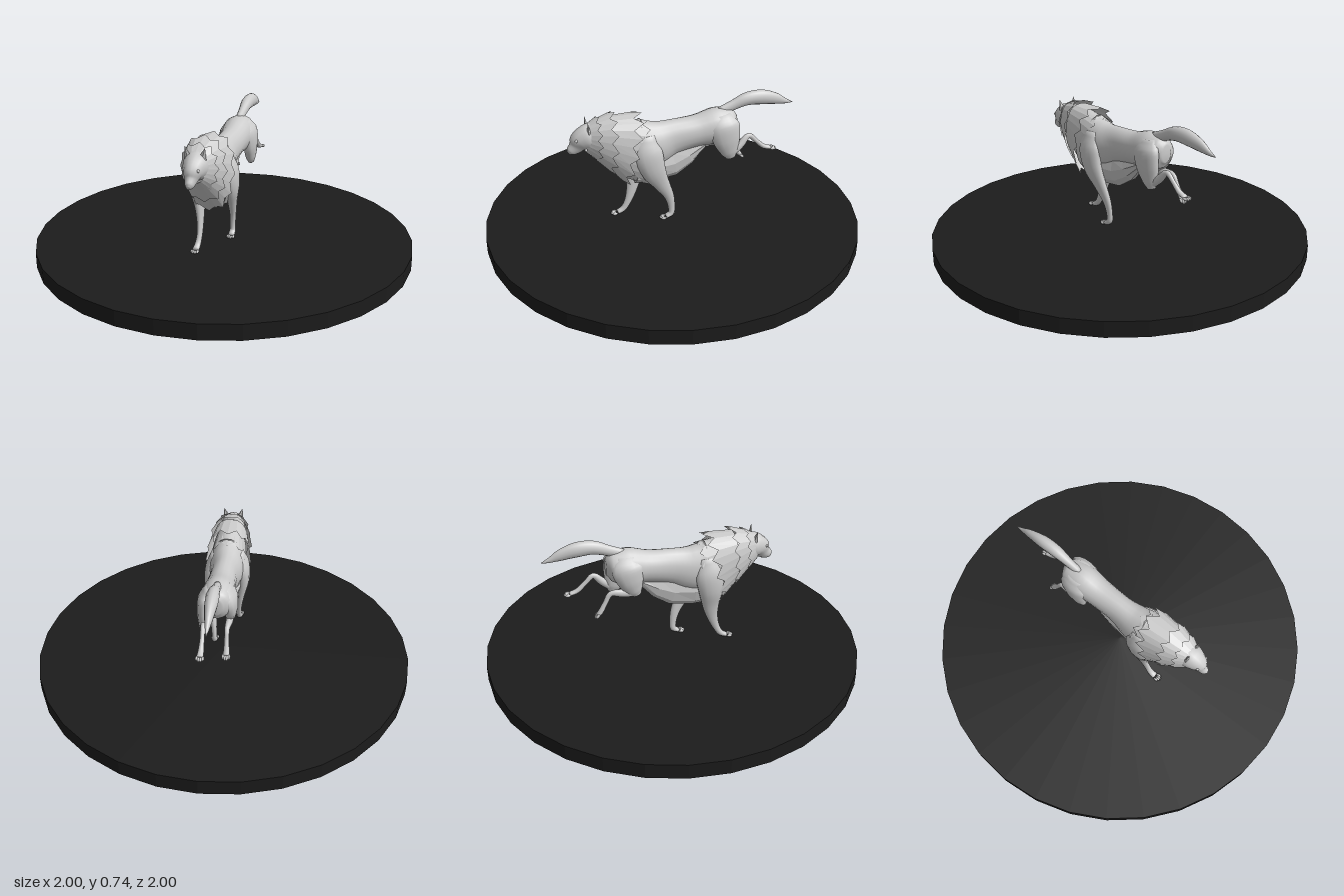
import * as THREE from 'three';

const grey = new THREE.MeshStandardMaterial({ color: 0xcccccc });
const fur = new THREE.MeshStandardMaterial({ color: 0xcccccc, flatShading: true, side: THREE.DoubleSide });
const black = new THREE.MeshStandardMaterial({ color: 0x1c1c1c, flatShading: true });

function mesh(name, geometry, material = grey) {
  const m = new THREE.Mesh(geometry, material);
  m.name = name;
  return m;
}

// Smooth tube through [x, y, z, half width, half thickness] with capped ends
function loft(name, pts, sides = 14, per = 4) {
  const path = new THREE.CatmullRomCurve3(pts.map(p => new THREE.Vector3(p[0], p[1], p[2])), false, 'centripetal');
  const size = new THREE.CatmullRomCurve3(pts.map(p => new THREE.Vector3(p[3], p[4], 0)), false, 'catmullrom', 0.4);
  const n = (pts.length - 1) * per, pos = [], idx = [], s = new THREE.Vector3(1, 0, 0);
  for (let i = 0; i <= n; i++) {
    const c = path.getPoint(i / n), r = size.getPoint(i / n);
    const t = path.getTangent(i / n).setX(0).normalize();
    const up = new THREE.Vector3().crossVectors(t, s);
    for (let j = 0; j < sides; j++) {
      const a = (j / sides) * Math.PI * 2;
      const p = c.clone().addScaledVector(s, Math.cos(a) * r.x).addScaledVector(up, Math.sin(a) * r.y);
      pos.push(p.x, p.y, p.z);
      if (i < n) {
        const k = i * sides + j, l = i * sides + (j + 1) % sides;
        idx.push(k, l, l + sides, k, l + sides, k + sides);
      }
    }
  }
  const first = n * sides + sides, last = first + 1;
  for (const e of [0, 1]) pos.push(...path.getPoint(e).toArray());
  for (let j = 0; j < sides; j++) {
    const l = (j + 1) % sides;
    idx.push(first, l, j, last, n * sides + j, n * sides + l);
  }
  const g = new THREE.BufferGeometry();
  g.setAttribute('position', new THREE.Float32BufferAttribute(pos, 3));
  g.setIndex(idx);
  g.computeVertexNormals();
  return mesh(name, g);
}

// Flared collar of pointed locks between two rings: [top z, top y, bottom z, bottom y, half width]
function collar(name, front, back, locks = 12) {
  const n = locks * 2, pos = [], idx = [];
  const ringPoint = (r, a) => {
    const c = Math.cos(a), s = Math.sin(a), k = (1 + c) / 2;
    return new THREE.Vector3(Math.sign(s) * Math.pow(Math.abs(s), 0.75) * r[4],
      r[3] + (r[1] - r[3]) * k, r[2] + (r[0] - r[2]) * k);
  };
  for (let j = 0; j < n; j++) {
    const a = (j / n) * Math.PI * 2;
    const p = ringPoint(front, a), q = ringPoint(back, a);
    if (j % 2) q.lerp(p, 0.3);
    pos.push(...p.toArray(), ...q.toArray());
    const k = j * 2, l = ((j + 1) % n) * 2;
    idx.push(k, l, l + 1, k, l + 1, k + 1);
  }
  const g = new THREE.BufferGeometry();
  g.setAttribute('position', new THREE.Float32BufferAttribute(pos, 3));
  g.setIndex(idx);
  g.computeVertexNormals();
  return mesh(name, g, fur);
}

// Paw pad with four toes, pointing along dir = [y, z]
function paw(name, x, y, z, dir) {
  const g = new THREE.Group();
  g.name = name;
  for (let i = 0; i < 4; i++) {
    const toe = mesh('toe', new THREE.SphereGeometry(0.009, 8, 6));
    toe.scale.set(0.75, 0.9, 1.7);
    toe.position.set((i - 1.5) * 0.01, 0, i % 3 ? 0.012 : 0.005);
    g.add(toe);
  }
  g.position.set(x, y, z);
  g.rotation.x = -Math.atan2(dir[0], dir[1]);
  return g;
}

export function createModel() {
  const model = new THREE.Group();
  model.name = 'wolfOnBase';

  // Round base
  const base = mesh('base', new THREE.CylinderGeometry(1, 1, 0.08, 32), black);
  base.position.y = 0.04;
  model.add(base);

  const wolf = new THREE.Group();
  wolf.name = 'wolf';
  model.add(wolf);

  // Torso, from rump to neck
  wolf.add(loft('torso', [
    [0, 0.58, -0.35, 0.03, 0.045], [0, 0.58, -0.32, 0.07, 0.08], [0, 0.57, -0.24, 0.085, 0.1],
    [0, 0.555, -0.13, 0.074, 0.087], [0, 0.535, 0, 0.07, 0.1], [0, 0.51, 0.1, 0.088, 0.13],
    [0, 0.505, 0.2, 0.095, 0.16], [0, 0.55, 0.3, 0.085, 0.13], [0, 0.59, 0.41, 0.06, 0.08]], 18));

  // Head, ears, eyes and nose
  wolf.add(loft('head', [
    [0, 0.6, 0.37, 0.06, 0.075], [0, 0.595, 0.44, 0.064, 0.073], [0, 0.58, 0.48, 0.05, 0.06],
    [0, 0.55, 0.507, 0.03, 0.04], [0, 0.53, 0.532, 0.021, 0.027], [0, 0.52, 0.543, 0.01, 0.013]]));
  const nose = mesh('nose', new THREE.SphereGeometry(0.011, 10, 8));
  nose.position.set(0, 0.533, 0.541);
  wolf.add(nose);
  for (const s of [1, -1]) {
    const ear = mesh('ear', new THREE.ConeGeometry(0.022, 0.06, 5), fur);
    ear.scale.z = 0.5;
    ear.position.set(s * 0.043, 0.667, 0.445);
    ear.rotation.set(0.1, 0, -s * 0.25);
    const eye = mesh('eye', new THREE.SphereGeometry(0.008, 8, 6));
    eye.position.set(s * 0.036, 0.598, 0.508);
    wolf.add(ear, eye);
  }

  // Layered mane
  wolf.add(
    collar('cheekRuff', [0.45, 0.66, 0.46, 0.52, 0.052], [0.38, 0.7, 0.385, 0.45, 0.1]),
    collar('neckMane', [0.41, 0.68, 0.41, 0.47, 0.075], [0.3, 0.715, 0.315, 0.37, 0.118]),
    collar('shoulderMane', [0.33, 0.69, 0.345, 0.41, 0.095], [0.16, 0.695, 0.25, 0.3, 0.124]),
    collar('chestMane', [0.24, 0.66, 0.27, 0.35, 0.09], [0.13, 0.645, 0.14, 0.285, 0.105]));

  // Shaggy belly fringe
  const fringe = loft('bellyFringe', [
    [0, 0.41, 0.2, 0.085, 0.11], [0, 0.4, 0.11, 0.075, 0.105], [0, 0.405, 0, 0.06, 0.095],
    [0, 0.435, -0.08, 0.05, 0.07], [0, 0.48, -0.17, 0.035, 0.025]], 10, 1);
  fringe.material = fur;
  wolf.add(fringe);

  // Front legs: the left one trails, the right one reaches forward
  wolf.add(
    loft('frontLegLeft', [
      [0.06, 0.59, 0.15, 0.025, 0.04], [0.08, 0.5, 0.15, 0.038, 0.075], [0.083, 0.4, 0.125, 0.035, 0.066],
      [0.07, 0.3, 0.075, 0.024, 0.042], [0.06, 0.22, 0.035, 0.017, 0.027], [0.055, 0.15, 0.02, 0.014, 0.019],
      [0.054, 0.11, 0.022, 0.016, 0.017], [0.055, 0.092, 0.05, 0.018, 0.011]]),
    paw('frontPawLeft', 0.055, 0.09, 0.06, [0, 1]),
    loft('frontLegRight', [
      [-0.06, 0.59, 0.17, 0.025, 0.04], [-0.08, 0.5, 0.18, 0.038, 0.075], [-0.083, 0.4, 0.19, 0.035, 0.066],
      [-0.07, 0.3, 0.195, 0.024, 0.045], [-0.062, 0.22, 0.21, 0.017, 0.029], [-0.058, 0.15, 0.235, 0.014, 0.019],
      [-0.06, 0.11, 0.26, 0.016, 0.016], [-0.06, 0.094, 0.29, 0.018, 0.012]]),
    paw('frontPawRight', -0.06, 0.091, 0.302, [0, 1]));

  // Hind legs: both swing back, the left one higher and farther
  wolf.add(
    loft('thighLeft', [
      [0.04, 0.645, -0.26, 0.02, 0.045], [0.058, 0.59, -0.265, 0.037, 0.083], [0.063, 0.51, -0.28, 0.036, 0.075],
      [0.06, 0.44, -0.298, 0.029, 0.05], [0.06, 0.4, -0.31, 0.016, 0.026]]),
    loft('lowerHindLegLeft', [
      [0.06, 0.42, -0.3, 0.02, 0.024], [0.057, 0.465, -0.36, 0.018, 0.021], [0.052, 0.51, -0.408, 0.013, 0.015],
      [0.05, 0.475, -0.45, 0.011, 0.012], [0.05, 0.435, -0.495, 0.014, 0.013], [0.05, 0.422, -0.535, 0.017, 0.01]]),
    paw('hindPawLeft', 0.05, 0.42, -0.54, [-0.1, -1]),
    loft('thighRight', [
      [-0.04, 0.645, -0.25, 0.02, 0.045], [-0.058, 0.59, -0.25, 0.037, 0.083], [-0.063, 0.52, -0.235, 0.036, 0.07],
      [-0.06, 0.46, -0.215, 0.028, 0.045], [-0.06, 0.43, -0.2, 0.015, 0.024]]),
    loft('lowerHindLegRight', [
      [-0.06, 0.445, -0.195, 0.018, 0.022], [-0.06, 0.448, -0.27, 0.018, 0.023], [-0.057, 0.453, -0.34, 0.013, 0.015],
      [-0.058, 0.405, -0.37, 0.012, 0.013], [-0.06, 0.36, -0.395, 0.015, 0.014], [-0.06, 0.342, -0.41, 0.017, 0.011]]),
    paw('hindPawRight', -0.06, 0.342, -0.41, [-0.7, -0.7]));

  // Tail
  wolf.add(loft('tail', [
    [0, 0.645, -0.26, 0.02, 0.026], [0, 0.672, -0.33, 0.023, 0.028], [0, 0.7, -0.41, 0.031, 0.036],
    [0, 0.7, -0.49, 0.031, 0.04], [0, 0.682, -0.57, 0.021, 0.031], [0, 0.66, -0.63, 0.01, 0.014],
    [0, 0.65, -0.67, 0.002, 0.002]]));

  return model;
}
